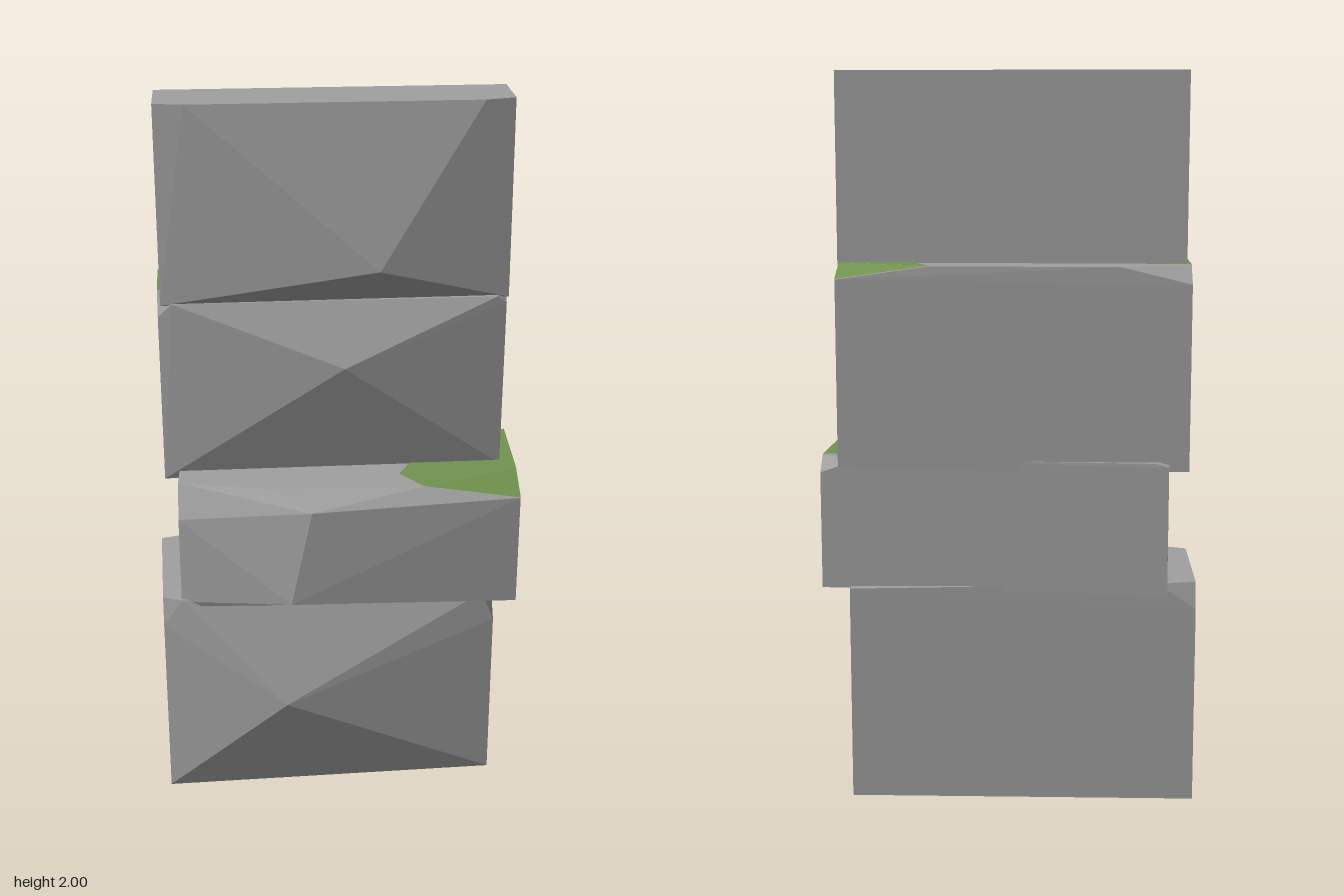
import * as THREE from 'three';
import { ConvexGeometry } from 'three/addons/geometries/ConvexGeometry.js';

export function createModel() {
  const model = new THREE.Group();
  model.name = 'stackedStonePillar';

  const stone = new THREE.MeshStandardMaterial({ color: 0xa0a0a0 });
  stone.name = 'grey stone';
  const moss = new THREE.MeshStandardMaterial({ color: 0x719450 });
  moss.name = 'moss green';

  const vec = (p) => new THREE.Vector3(...p);

  // A faceted stone: the hull of its corners, chamfer points and front bulge
  function block(name, points) {
    const mesh = new THREE.Mesh(new ConvexGeometry(points.map(vec)), stone);
    mesh.name = name;
    model.add(mesh);
  }

  // A flat patch of moss: a planar polygon lifted slightly off the stone
  function patch(name, points) {
    const pts = points.map(vec);
    const normal = new THREE.Vector3()
      .crossVectors(pts[1].clone().sub(pts[0]), pts[2].clone().sub(pts[0])).normalize();
    if (normal.y < 0) { pts.reverse(); normal.negate(); }
    pts.forEach((p) => p.addScaledVector(normal, 0.002));
    const tris = [];
    for (let i = 1; i < pts.length - 1; i++) tris.push(pts[0], pts[i], pts[i + 1]);
    const geometry = new THREE.BufferGeometry().setFromPoints(tris);
    geometry.computeVertexNormals();
    const mesh = new THREE.Mesh(geometry, moss);
    mesh.name = name;
    model.add(mesh);
  }

  // Base stone, turned slightly, with chamfered top corners
  block('baseStone', [
    [-0.505, 0, 0.175], [0.445, 0, 0.15], [0.435, 0, -0.268], [-0.515, 0, -0.245],
    [-0.16, 0.32, 0.268],
    [-0.505, 0.54, 0.165], [-0.505, 0.62, 0.15], [-0.45, 0.62, 0.17],
    [0.445, 0.51, 0.15], [0.41, 0.6, 0.15], [0.443, 0.6, 0.1],
    [0.435, 0.6, -0.268],
    [-0.515, 0.55, -0.245], [-0.515, 0.62, -0.22], [-0.41, 0.62, -0.247],
  ]);

  // Second stone, turned the other way, with a ridge down its front
  block('secondStone', [
    [-0.452, 0.61, 0.16], [-0.42, 0.597, 0.165], [0.5, 0.595, 0.195],
    [0.515, 0.595, -0.238], [-0.435, 0.595, -0.275], [-0.45, 0.595, 0.08],
    [-0.145, 0.65, 0.272], [-0.085, 0.92, 0.25],
    [-0.452, 0.87, 0.16], [-0.45, 0.96, 0.11], [-0.2, 0.96, 0.17],
    [0.23, 0.96, 0.185], [0.505, 0.96, 0.075], [0.5, 0.92, 0.195],
    [0.515, 0.96, -0.19], [0.515, 0.92, -0.238], [0.4, 0.96, -0.243],
    [-0.435, 0.95, -0.275], [-0.4, 0.96, -0.273], [-0.437, 0.96, -0.22],
  ]);
  patch('secondStoneMossTop', [
    [0.17, 0.96, 0.1], [0.23, 0.96, 0.185], [0.505, 0.96, 0.075],
    [0.515, 0.96, -0.19], [0.3, 0.96, -0.15],
  ]);
  patch('secondStoneMossCorner', [
    [0.23, 0.96, 0.185], [0.5, 0.92, 0.195], [0.505, 0.96, 0.075],
  ]);

  // Third stone, with a central point on its front and cut rear corners
  block('thirdStone', [
    [-0.488, 0.935, 0.025], [0.466, 0.95, 0.025], [0.462, 0.935, -0.265], [-0.49, 0.935, -0.255],
    [0.015, 1.29, 0.12],
    [-0.488, 1.42, 0.03], [-0.45, 1.46, 0.04], [0.466, 1.44, 0.035], [0.44, 1.46, 0.04],
    [-0.488, 1.486, 0], [0.465, 1.486, 0],
    [-0.49, 1.486, -0.18], [-0.3, 1.486, -0.256], [-0.49, 1.44, -0.255],
    [0.463, 1.486, -0.18], [0.21, 1.486, -0.26], [0.462, 1.45, -0.265],
  ]);
  patch('thirdStoneMossTopRear', [
    [0.21, 1.486, -0.26], [0.27, 1.486, -0.14], [0.42, 1.486, -0.1],
    [0.464, 1.486, -0.1], [0.463, 1.486, -0.18],
  ]);
  patch('thirdStoneMossCorner', [
    [0.21, 1.486, -0.26], [0.463, 1.486, -0.18], [0.462, 1.45, -0.265],
  ]);
  patch('thirdStoneMossTopSide', [
    [-0.49, 1.486, -0.18], [-0.36, 1.486, -0.145], [-0.36, 1.486, 0], [-0.488, 1.486, 0],
  ]);

  // Thin top stone, with a low overhanging point on its front
  block('topStone', [
    [-0.48, 1.455, -0.145], [0.472, 1.455, -0.145], [0.472, 1.455, 0.03], [-0.48, 1.455, 0.035],
    [0.11, 1.56, 0.11],
    [-0.48, 2, -0.145], [0.472, 2, -0.145], [0.472, 2, 0.015], [-0.48, 2, 0.02],
    [-0.4, 2, 0.036], [0.39, 2, 0.036],
  ]);

  return model;
}
